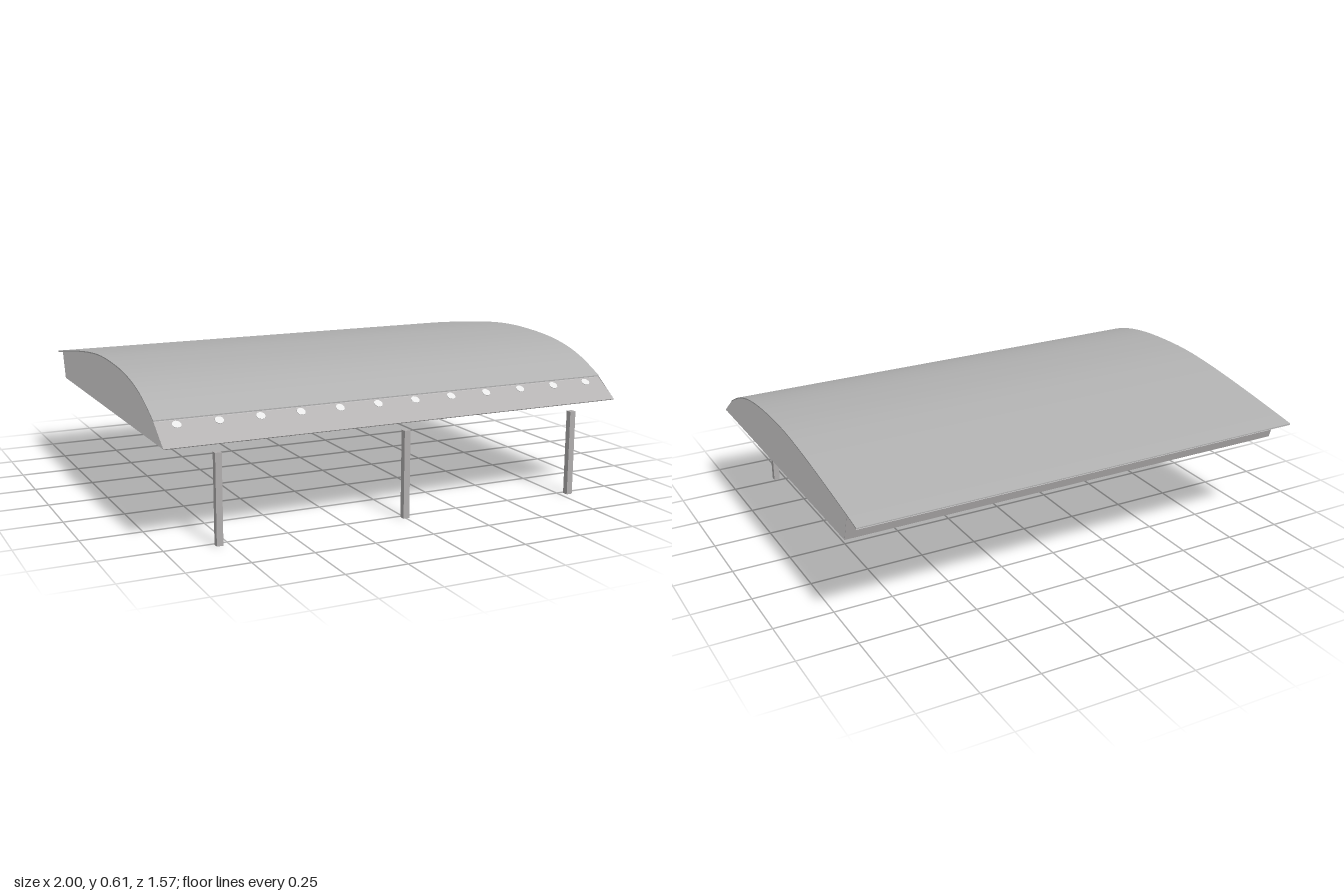
import * as THREE from 'three';
import { toCreasedNormals } from 'three/addons/utils/BufferGeometryUtils.js';

export function createModel() {
  const model = new THREE.Group();
  model.name = 'canopy';
  const mat = (name, color, side = THREE.FrontSide) => {
    const m = new THREE.MeshStandardMaterial({ color, side });
    m.name = name;
    return m;
  };
  const roofGrey = mat('roof grey', 0xb1b1b1);
  const panelGrey = mat('panel grey', 0xb4b2b2);
  const wallGrey = mat('pale wall grey', 0xe2e0e1, THREE.DoubleSide);
  const postGrey = mat('post grey', 0xb0aeae);
  const lampWhite = mat('lamp white', 0xf6f6f6);

  const add = (parent, name, geometry, material, x = 0, y = 0, z = 0) => {
    const mesh = new THREE.Mesh(geometry, material);
    mesh.name = name;
    mesh.position.set(x, y, z);
    parent.add(mesh);
    return mesh;
  };

  // Roof profile as (z, y), front to back
  const crown = new THREE.SplineCurve([
    [0.675, 0.478], [0.555, 0.535], [0.43, 0.573], [0.28, 0.596], [0.1, 0.605],
    [-0.05, 0.603], [-0.2, 0.59], [-0.35, 0.571], [-0.5, 0.549], [-0.7, 0.517], [-0.785, 0.502],
  ].map(([z, y]) => new THREE.Vector2(z, y))).getPoints(40);
  const lowered = (drop) => crown.map((p) => new THREE.Vector2(p.x, p.y - drop));

  // Thin curved sheet between two depths below the crown, swept across the width
  const sheet = (top, bottom) => {
    const shape = new THREE.Shape([...lowered(top), ...lowered(bottom).reverse()]);
    const geometry = new THREE.ExtrudeGeometry(shape, { depth: 2, bevelEnabled: false });
    geometry.rotateY(-Math.PI / 2).translate(1, 0, 0);
    return toCreasedNormals(geometry, 0.5);
  };
  add(model, 'roof', sheet(0, 0.005), roofGrey);
  add(model, 'ceiling', sheet(0.005, 0.007), wallGrey);

  // End walls closing the sides below the roof
  const wallShape = new THREE.Shape([
    new THREE.Vector2(-0.66, 0.395),
    new THREE.Vector2(0.785, 0.395),
    ...lowered(0.003).filter((p) => p.x > -0.695),
    new THREE.Vector2(-0.695, 0.512),
  ]);
  for (const side of [1, -1]) {
    const wall = new THREE.ShapeGeometry(wallShape).rotateY(-Math.PI / 2);
    add(model, side > 0 ? 'leftWall' : 'rightWall', wall, wallGrey, side * 0.9995);
  }

  // Sloping fascia with ribs and lamps; bottom and top edges as (z, y)
  const fascia = (name, [z0, y0], [z1, y1], out) => {
    const group = new THREE.Group();
    group.name = name;
    const length = Math.hypot(z1 - z0, y1 - y0);
    group.position.set(0, y0, z0);
    group.rotation.x = Math.atan2(z1 - z0, y1 - y0);
    add(group, 'panel', new THREE.BoxGeometry(1.998, length, 0.004), panelGrey, 0, length / 2, -out * 0.002);
    // Ribs on the inner face, between the bays
    for (let i = -5; i <= 5; i++) {
      add(group, 'rib', new THREE.BoxGeometry(0.005, length * 0.92, 0.012), postGrey,
        i / 6, length * 0.5, -out * 0.0065);
    }
    // One oval lamp in the middle of each bay, showing on both faces
    for (let i = 0; i < 12; i++) {
      const lamp = new THREE.CylinderGeometry(0.018, 0.018, 0.008, 12).rotateX(Math.PI / 2);
      add(group, 'lamp', lamp, lampWhite, (i - 5.5) / 6, length * 0.8, -out * 0.002);
    }
    model.add(group);
  };
  fascia('frontFascia', [0.785, 0.395], [0.67, 0.474], 1);
  fascia('backFascia', [-0.66, 0.395], [-0.695, 0.511], -1);

  // Front posts, standing clear below the fascia
  for (const x of [-0.79, 0, 0.79]) {
    add(model, 'post', new THREE.BoxGeometry(0.026, 0.36, 0.026), postGrey, x, 0.18, 0.772);
  }
  return model;
}
